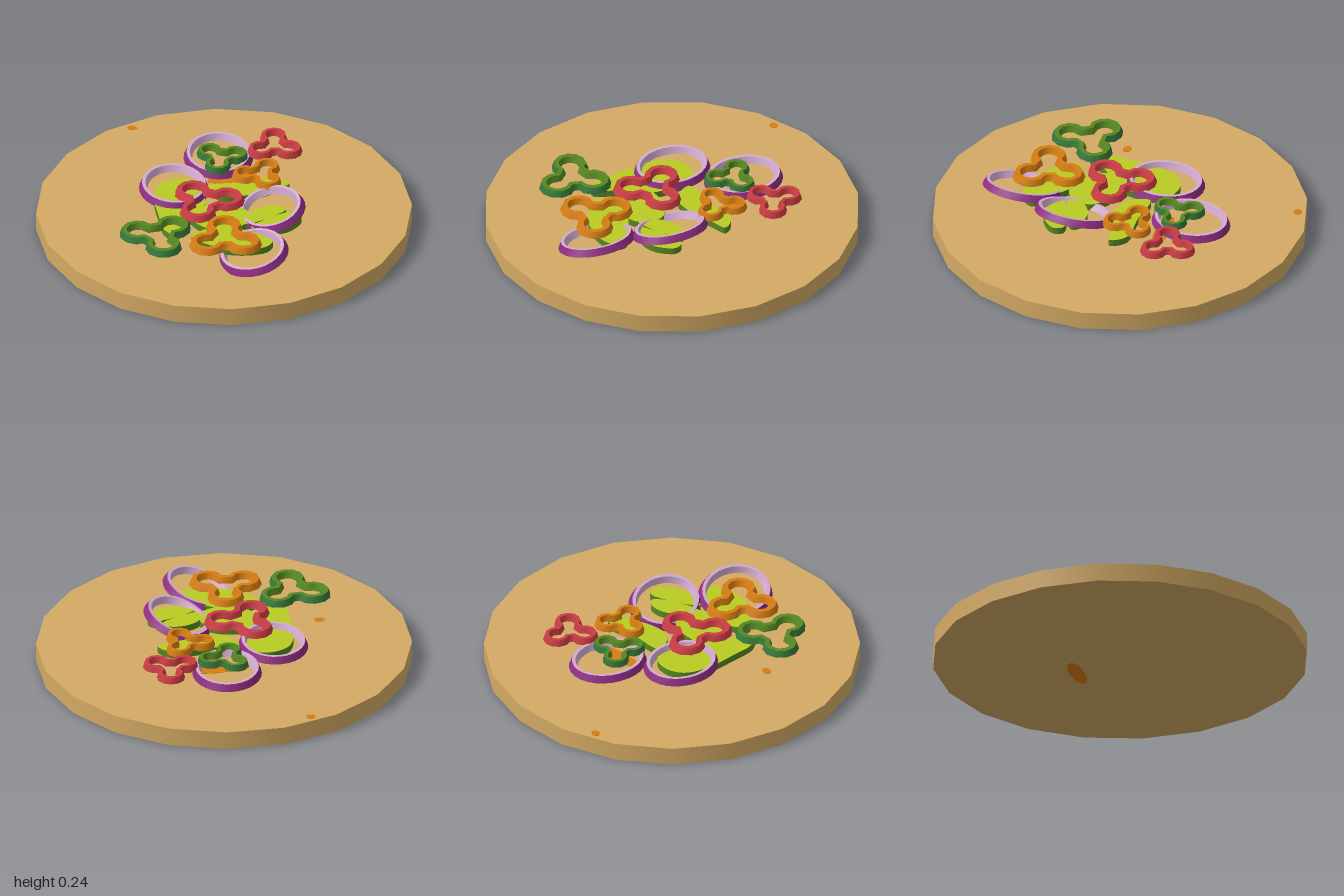
import * as THREE from 'three';

const mat = (name, color) => Object.assign(new THREE.MeshStandardMaterial({ color }), { name });

// Sweeps a four-sided section [offset, y] round a closed loop of [x, z] points.
// Group 0 is the outer wall, group 1 the rim, inner wall and underside.
function ringGeometry(loop, section) {
  const n = loop.length, pos = [], index = [];
  const corner = (i, [off, y]) => {
    const p = loop[i], a = loop[(i + n - 1) % n], b = loop[(i + 1) % n];
    const tx = b[0] - a[0], tz = b[1] - a[1], l = Math.hypot(tx, tz);
    return [p[0] + (tz / l) * off, y, p[1] - (tx / l) * off];
  };
  for (let j = 0; j < 4; j++) {
    const base = pos.length / 3;
    for (let i = 0; i < n; i++) pos.push(...corner(i, section[j]), ...corner(i, section[(j + 1) % 4]));
    for (let i = 0; i < n; i++) {
      const a = base + 2 * i, c = base + 2 * ((i + 1) % n);
      index.push(a, a + 1, c, a + 1, c + 1, c);
    }
  }
  const g = new THREE.BufferGeometry();
  g.setAttribute('position', new THREE.Float32BufferAttribute(pos, 3));
  g.setIndex(index);
  g.addGroup(0, n * 6, 0);
  g.addGroup(n * 6, n * 18, 1);
  g.computeVertexNormals();
  return g;
}

// Oval loop, turned about the vertical axis
function ovalLoop(rx, rz, turn) {
  return Array.from({ length: 28 }, (_, i) => {
    const a = (i / 28) * Math.PI * 2, x = rx * Math.cos(a), z = rz * Math.sin(a);
    return [x * Math.cos(turn) - z * Math.sin(turn), x * Math.sin(turn) + z * Math.cos(turn)];
  });
}

// Three-lobed loop with one lobe pointing along the given angle
function trefoilLoop(size, degrees) {
  const loop = [];
  for (let k = 0; k < 3; k++) {
    const axis = THREE.MathUtils.degToRad(degrees + k * 120);
    for (let i = 0; i <= 8; i++) {
      const a = axis + THREE.MathUtils.degToRad(-132 + i * 33);
      loop.push([
        size * (0.11 * Math.cos(axis) + 0.073 * Math.cos(a)),
        size * (0.11 * Math.sin(axis) + 0.073 * Math.sin(a)),
      ]);
    }
  }
  return loop;
}

export function createModel() {
  const model = new THREE.Group();
  const tan = mat('crust tan', 0xd4aa64);
  const flesh = mat('lime flesh', 0xb9cb22);
  const green = mat('leaf green', 0x568822);
  const greenSkin = mat('dark green skin', 0x35763a);
  const red = mat('pepper red', 0xcb3c44);
  const orange = mat('pepper orange', 0xd67d12);
  const purple = mat('onion purple', 0x8e2c80);
  const lilac = mat('onion lilac', 0xd3abd0);

  const add = (name, geometry, material, x = 0, y = 0, z = 0) => {
    const mesh = new THREE.Mesh(geometry, material);
    mesh.name = name;
    mesh.position.set(x, y, z);
    model.add(mesh);
    return mesh;
  };

  // Round base
  add('base', new THREE.CylinderGeometry(1, 1, 0.1, 20), tan, 0, 0.05, 0);

  // Sauce spots, flush with the base: x, y, z, half length, half width, turn
  [
    [-0.45, 0.101, -0.83, 0.026, 0.022, 0],
    [-0.51, 0.101, 0.25, 0.03, 0.022, 0],
    [0.06, 0.101, -0.3, 0.14, 0.042, 0.17],
    [0.06, 0, -0.28, 0.14, 0.042, 0.17],
  ].forEach(([x, y, z, a, b, turn]) => {
    const spot = add('sauceSpot', new THREE.CylinderGeometry(1, 1, 0.002, 10), orange, x, y, z);
    spot.scale.set(a, 1, b);
    spot.rotation.y = turn;
  });

  // Flat green slices, outlined as [x, z]
  const slices = [
    [[-0.37, -0.04], [-0.34, -0.16], [-0.25, -0.22], [-0.14, -0.2], [-0.1, -0.06], [-0.12, 0.1],
      [-0.2, 0.2], [-0.27, 0.34], [-0.33, 0.29], [-0.355, 0.14]],
    [[-0.08, -0.14], [0.1, -0.17], [0.29, -0.205], [0.355, -0.14], [0.27, -0.1], [0.1, -0.03], [0, -0.03]],
    [[0.1, 0.25], [0.13, 0.14], [0.21, 0.08], [0.29, 0.075], [0.325, 0.115]],
    [[0.13, 0.28], [0.37, 0.13], [0.405, 0.18], [0.33, 0.28], [0.22, 0.305]],
    [[-0.19, 0.36], [-0.03, 0.26], [0.08, 0.3], [0.24, 0.4], [0.21, 0.475], [0.08, 0.505], [-0.06, 0.47]],
    [[-0.2, 0.1], [0, 0.05], [0.12, 0.12], [0.1, 0.25], [-0.05, 0.3], [-0.15, 0.24]],
  ];
  slices.forEach((outline) => {
    const curve = new THREE.CatmullRomCurve3(
      outline.map(([x, z]) => new THREE.Vector3(x, -z, 0)), true, 'centripetal');
    const shape = new THREE.Shape(curve.getPoints(36).slice(0, -1).map((p) => new THREE.Vector2(p.x, p.y)));
    const g = new THREE.ExtrudeGeometry(shape, { depth: 0.038, bevelEnabled: false });
    g.rotateX(-Math.PI / 2);
    add('greenSlice', g, [flesh, green], 0, 0.122, 0);
  });

  // Onion rings: x, y, z, radii, turn, tilt
  const onionSection = [[0.022, -0.019], [0.006, 0.019], [-0.012, 0.019], [-0.024, -0.019]];
  [
    [-0.26, 0.171, -0.13, 0.163, 0.192, -0.15, 0],
    [-0.01, 0.171, -0.43, 0.163, 0.195, 0, 0],
    [0.245, 0.18, 0.135, 0.158, 0.195, -0.25, 0.27],
    [0.13, 0.152, 0.515, 0.165, 0.198, -0.3, 0.25],
  ].forEach(([x, y, z, rx, rz, turn, tilt]) => {
    const ring = add('onionRing', ringGeometry(ovalLoop(rx, rz, turn), onionSection), [purple, lilac], x, y, z);
    ring.rotation.z = tilt;
  });

  // Pepper rings: skin, flesh, x, z, size, lobe angle
  [
    [greenSkin, green, -0.37, 0.4, 1, -43],
    [orange, orange, -0.015, 0.445, 1, -90],
    [red, red, -0.1, 0.07, 1, -5],
    [orange, orange, 0.2, -0.18, 0.72, 60],
    [greenSkin, green, 0, -0.355, 0.72, -15],
    [red, red, 0.29, -0.46, 0.76, -90],
  ].forEach(([skin, inside, x, z, size, angle]) => {
    const section = [[0.026, 0], [0.013, 0.035], [-0.013, 0.035], [-0.024, 0]].map(([o, y]) => [o * size, y]);
    add('pepperRing', ringGeometry(trefoilLoop(size, angle), section), [skin, inside], x, 0.185, z);
  });

  return model;
}
